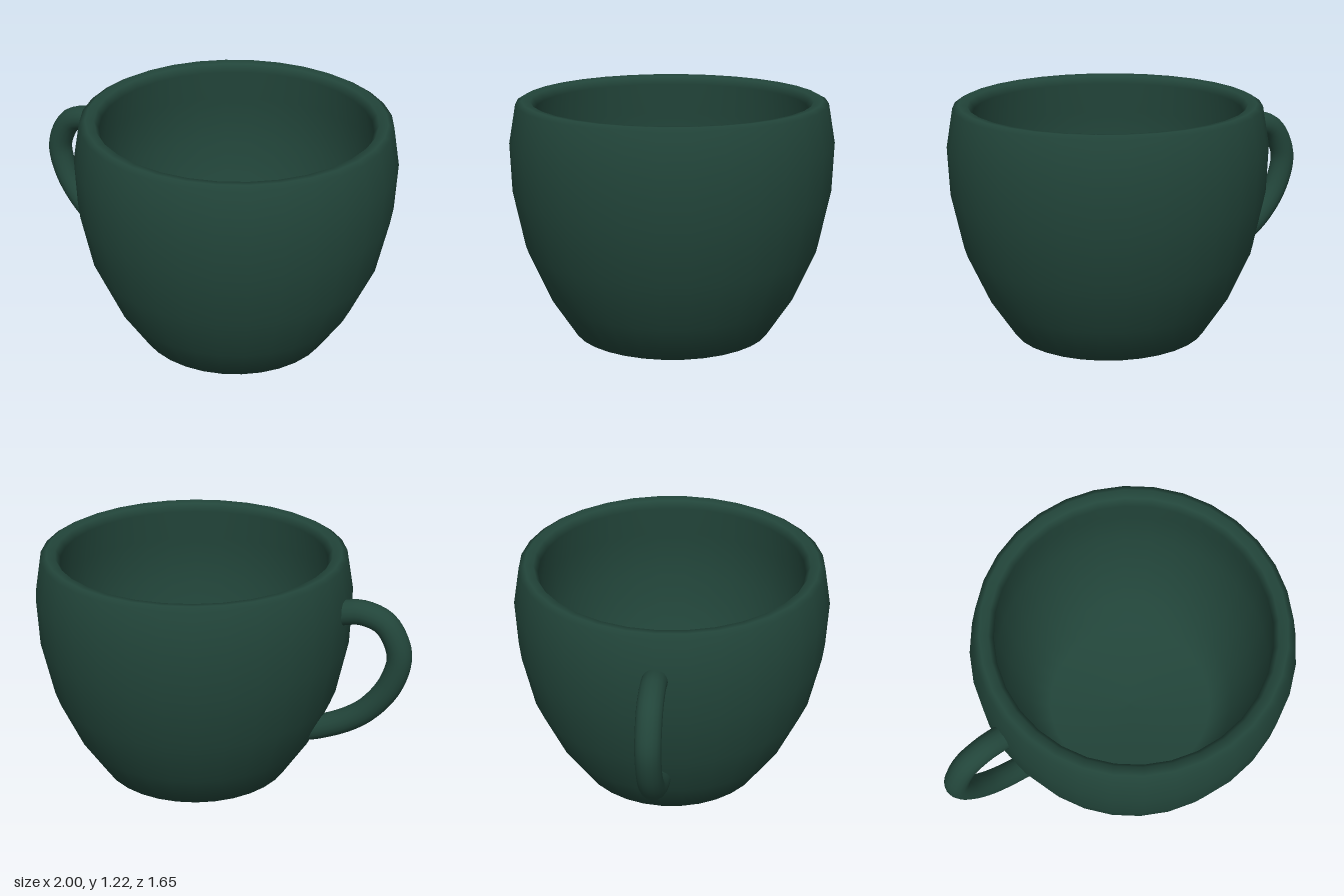
import * as THREE from 'three';

export function createModel() {
  const group = new THREE.Group();
  group.name = 'cup';
  const glaze = new THREE.MeshStandardMaterial({ color: 0x22453a });
  const axisX = 0.175;

  // Body: closed wall profile from base centre, up the outside, over the rim, down to the inner floor
  const profile = [
    [0, 0], [0.51, 0], [0.64, 0.2], [0.755, 0.46], [0.815, 0.75], [0.825, 1.0],
    [0.79, 1.2], [0.76, 1.216], [0.715, 1.21], [0.69, 1.17],
    [0.725, 1.0], [0.715, 0.75], [0.66, 0.48], [0.56, 0.24], [0.45, 0.12], [0, 0.1],
  ].map(([r, y]) => new THREE.Vector2(r, y));
  const body = new THREE.Mesh(new THREE.LatheGeometry(profile, 32), glaze);
  body.name = 'body';
  body.position.x = axisX;
  group.add(body);

  // Handle: round tube whose ends are buried in the wall
  const path = new THREE.CatmullRomCurve3([
    [-0.59, 0.97], [-0.655, 0.99], [-0.738, 1.0], [-0.85, 0.963], [-0.915, 0.87], [-0.936, 0.775],
    [-0.893, 0.62], [-0.79, 0.475], [-0.674, 0.385], [-0.503, 0.305], [-0.45, 0.29],
  ].map(([x, y]) => new THREE.Vector3(x, y, 0)));
  const handle = new THREE.Mesh(new THREE.TubeGeometry(path, 40, 0.064, 16), glaze);
  handle.name = 'handle';
  group.add(handle);

  return group;
}
